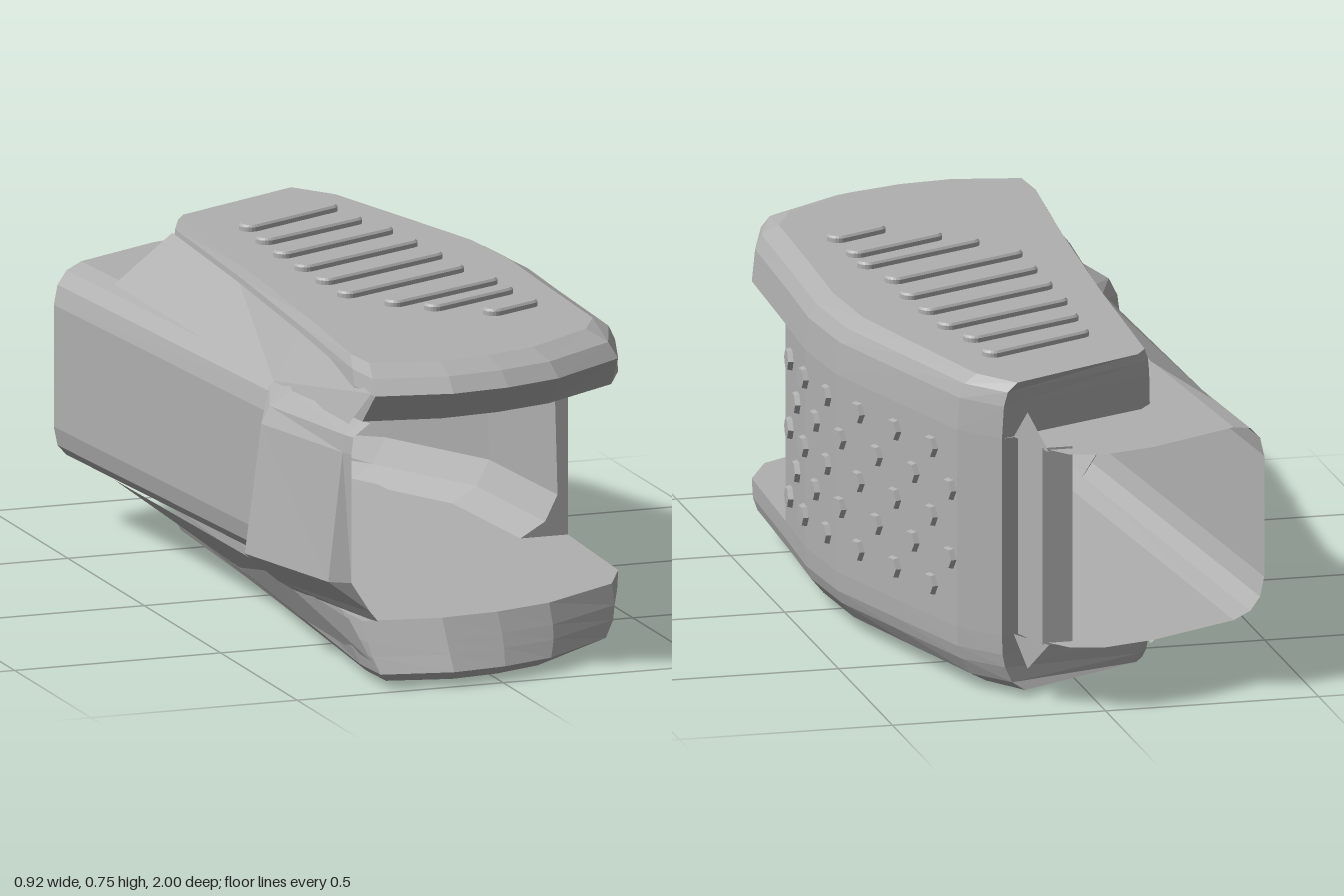
import * as THREE from 'three';

const H = 0.755; // total height, used to mirror the upper parts downwards

// Plan outline (x, z) of the upper and lower cheek plates
const PLAN = [
  [0.20, -0.83], [0.28, -0.73], [0.36, -0.45], [0.43, -0.2], [0.447, 0.02], [0.435, 0.25],
  [0.42, 0.62], [0.36, 0.80], [0.16, 0.94], [0.02, 0.985], [-0.12, 1.0], [-0.30, 0.965],
  [-0.308, 0.85], [-0.27, 0.4], [-0.23, -0.1], [-0.20, -0.62], [-0.17, -0.66],
];

// Closed solid through stacked rings of [x, y, z] points
function loft(rings, material) {
  const n = rings[0].length, last = rings.length - 1;
  const index = [];
  for (let r = 0; r < last; r++) {
    for (let i = 0; i < n; i++) {
      const a = r * n + i, b = r * n + (i + 1) % n;
      index.push(a, a + n, b, b, a + n, b + n);
    }
  }
  for (const r of [0, last]) {
    const flat = rings[r].map(p => new THREE.Vector2(p[0], p[2]));
    for (const t of THREE.ShapeUtils.triangulateShape(flat, [])) {
      index.push(...t.map(k => k + r * n));
    }
  }
  return sheet(rings.flat(), index, material);
}

function sheet(points, index, material) {
  const g = new THREE.BufferGeometry();
  g.setAttribute('position', new THREE.Float32BufferAttribute(points.flat(), 3));
  g.setIndex(index);
  const flat = g.toNonIndexed();
  flat.computeVertexNormals();
  return new THREE.Mesh(flat, material);
}

// Outer x of the studded wall at a given z
function wallX(z) {
  for (let i = 0; i < 5; i++) {
    const [x0, z0] = PLAN[i], [x1, z1] = PLAN[i + 1];
    if (z >= z0 && z <= z1) {
      return { x: x0 + (x1 - x0) * (z - z0) / (z1 - z0), angle: Math.atan2(x1 - x0, z1 - z0) };
    }
  }
  return { x: 0.43, angle: 0 };
}

export function createModel() {
  const model = new THREE.Group();
  const grey = new THREE.MeshStandardMaterial({ color: 0xb0b0b0 });
  grey.name = 'grey';
  grey.side = THREE.DoubleSide;
  const add = (mesh, name, parent = model) => {
    mesh.name = name;
    parent.add(mesh);
    return mesh;
  };

  // Cheek plates: [y, width scale, nose scale]; upper has a pointed nose, lower a wedge
  const plates = {
    upperPlate: [[0.61, 1, 0.92], [0.685, 0.985, 1], [0.718, 0.955, 0.965], [0.74, 0.88, 0.9]],
    lowerPlate: [[0.145, 1, 0.925], [0.10, 0.995, 0.955], [0.07, 0.975, 0.975],
      [0.034, 0.92, 1], [0.014, 0.82, 0.98]],
  };
  for (const [name, levels] of Object.entries(plates)) {
    add(loft(levels.map(([y, sx, sz]) => PLAN.map(([x, z]) => [
      -0.1 + (x + 0.1) * sx, y, z > 0.7 ? z * sz : z,
    ])), grey), name);
  }

  // Studded side wall: thin at the front, thick at the rear with a short tab,
  // filleted inside at the floor
  const inner = [[0.41, 0.25], [0.385, -0.13], [0.24, -0.42], [0.06, -0.86], [0.06, -0.93]];
  const wallLevels = [[0.145, 0.09], [0.18, 0.03], [0.24, 0], [0.61, 0.01]];
  add(loft(wallLevels.map(([y, fillet]) => [
    ...PLAN.slice(0, 6), ...inner.map(([x, z], i) => [i < 3 ? x - fillet : x, z]),
    [0.13, -0.93], [0.16, -0.82],
  ].map(([x, z]) => [x, y, z])), grey), 'sideWall');

  // Inner sleeve: thin C-shaped sheet with rounded corners, cut to a curve at the rear
  const half = [
    [0.16, 0.605, -0.82], [0.13, 0.605, -0.91], [0.08, 0.605, -0.98], [0, 0.605, -1],
    [-0.12, 0.605, -0.965], [-0.34, 0.605, -0.845], [-0.385, 0.593, -0.82],
    [-0.412, 0.565, -0.805], [-0.423, 0.52, -0.8],
  ];
  const rear = [...half, ...half.slice().reverse().map(([x, y, z]) => [x, H - y, z])];
  const front = rear.map(([x, y]) => [x + 0.09, y, 0.42]);
  const m = rear.length, idx = [];
  for (let i = 0; i < m - 1; i++) idx.push(i, i + 1, i + m, i + 1, i + m + 1, i + m);
  add(sheet([...rear, ...front], idx, grey), 'innerSleeve');

  for (const top of [true, false]) {
    const f = y => top ? y : H - y;
    // Sloped filler between the sleeve and the plate edge
    add(sheet([
      [-0.35, f(0.606), -0.6], [-0.202, f(0.71), -0.62], [-0.232, f(0.71), -0.1],
      [-0.272, f(0.71), 0.4], [-0.303, f(0.69), 0.955], [-0.33, f(0.605), 0.88], [-0.335, f(0.6), 0.4],
    ], [0, 1, 2, 0, 2, 6, 2, 3, 6, 3, 4, 6, 4, 5, 6], grey), 'edgeSlope');
    // Small pointed flap at the rear corner
    add(sheet([[0.17, f(0.61), -0.82], [0.15, f(0.68), -0.87], [0.12, f(0.605), -0.95]],
      [0, 1, 2], grey), 'rearFlap');
  }

  // Flared block at the front of the sleeve wall: [y, outer x, inner x]
  const flare = [[0.145, -0.34, -0.27], [0.17, -0.38, -0.29], [0.24, -0.46, -0.335],
    [0.54, -0.42, -0.335], [0.58, -0.40, -0.33], [0.61, -0.345, -0.29]];
  add(loft(flare.map(([y, x, xi]) => [
    [xi, y, 0.36], [x, y, 0.55], [Math.min(x + 0.08, xi - 0.01), y, 0.88], [xi, y, 0.91],
  ]), grey), 'frontFlare');

  // Slanted grip ribs: [x0, z0, x1, z1]
  const ribs = [
    [-0.08, -0.465, 0.17, -0.59], [-0.09, -0.33, 0.18, -0.455], [-0.10, -0.19, 0.21, -0.335],
    [-0.10, -0.05, 0.22, -0.20], [-0.10, 0.09, 0.23, -0.065], [-0.10, 0.23, 0.23, 0.075],
    [-0.03, 0.35, 0.26, 0.215], [0.04, 0.42, 0.26, 0.315], [0.15, 0.51, 0.27, 0.45],
  ];
  for (const top of [true, false]) {
    const group = add(new THREE.Group(), top ? 'upperRibs' : 'lowerRibs');
    for (const [x0, z0, x1, z1] of ribs) {
      const h = Math.hypot(x1 - x0, z1 - z0) / 2 - 0.012, r = 0.025;
      const s = new THREE.Shape();
      s.absarc(h, 0, r, -Math.PI / 2, Math.PI / 2);
      s.absarc(-h, 0, r, Math.PI / 2, Math.PI * 1.5);
      const g = new THREE.ExtrudeGeometry(s, {
        depth: 0.013, curveSegments: 5, bevelEnabled: true,
        bevelSize: 0.005, bevelThickness: 0.005, bevelOffset: -0.005, bevelSegments: 1,
      });
      g.rotateX(-Math.PI / 2);
      const rib = add(new THREE.Mesh(g, grey), 'rib', group);
      rib.rotation.y = Math.atan2(z0 - z1, x1 - x0);
      rib.position.set((x0 + x1) / 2, top ? H - 0.018 : 0.005, (z0 + z1) / 2);
    }
  }

  // Staggered hexagonal studs on the side wall
  const studs = add(new THREE.Group(), 'studs');
  const studGeo = new THREE.CylinderGeometry(0.024, 0.032, 0.03, 6).toNonIndexed();
  studGeo.computeVertexNormals();
  studGeo.rotateZ(-Math.PI / 2);
  for (let row = 0; row < 5; row++) {
    for (let col = 0; col < 6; col++) {
      const z = (row % 2 ? 0.10 : 0.18) - col * 0.16;
      const { x, angle } = wallX(z);
      const stud = add(new THREE.Mesh(studGeo, grey), 'stud', studs);
      stud.position.set(x - 0.003, 0.545 - row * 0.081, z);
      stud.rotation.y = angle;
    }
  }
  return model;
}
